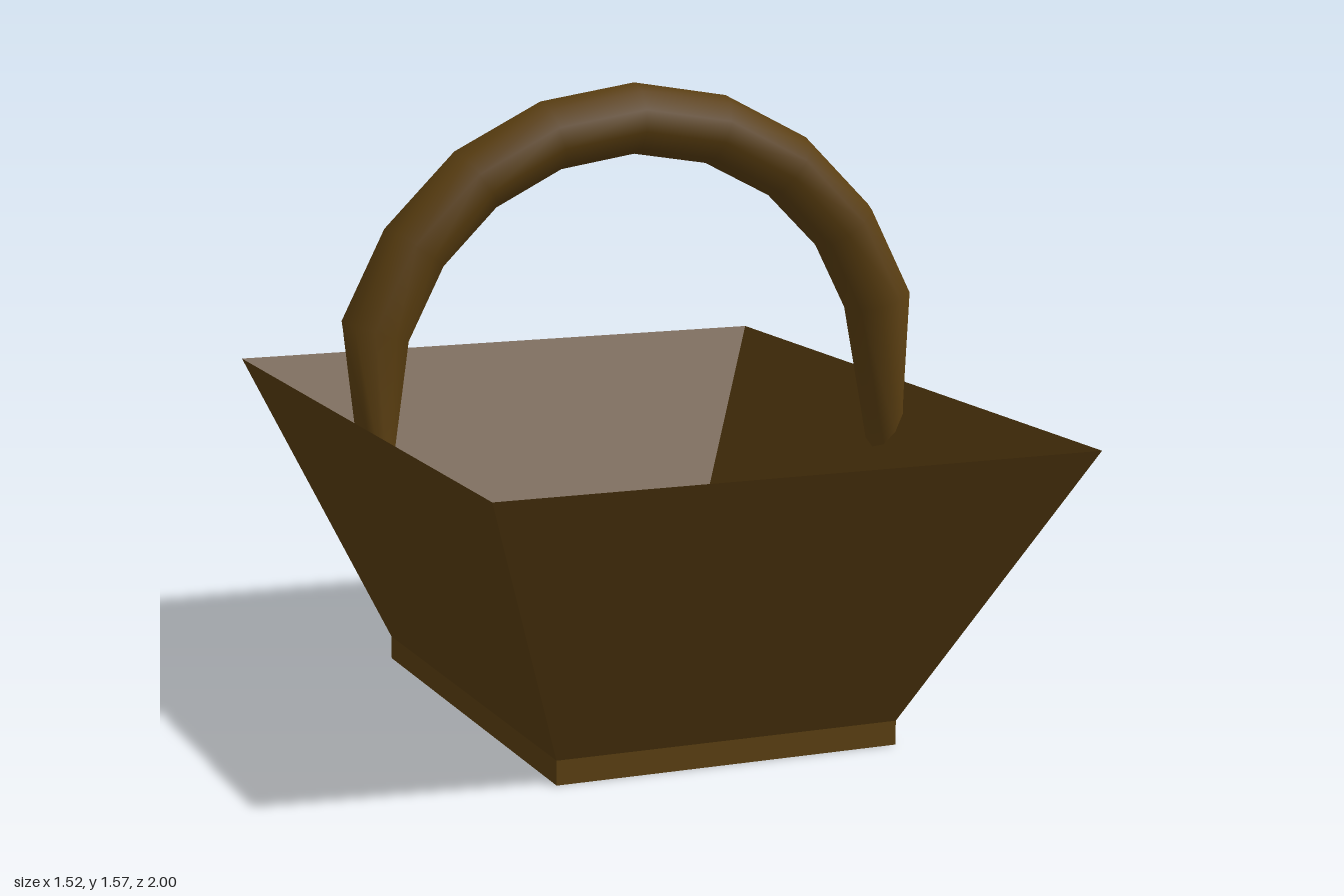
import * as THREE from 'three';

const BROWN = 0x5a3e10;

// Rectangle corners, counter-clockwise seen from above
const rectangle = (x, z, w, d, y) => [
  [x - w, y, z + d], [x + w, y, z + d], [x + w, y, z - d], [x - w, y, z - d],
];

// Skin of quads through successive rectangles, with optional end faces
function loftRectangles(rings, capStart, capEnd) {
  const index = [];
  for (let r = 0; r < rings.length - 1; r++) {
    for (let i = 0; i < 4; i++) {
      const a = r * 4 + i, b = r * 4 + (i + 1) % 4;
      index.push(a, b, b + 4, a, b + 4, a + 4);
    }
  }
  if (capStart) index.push(0, 2, 1, 0, 3, 2);
  if (capEnd) {
    const e = (rings.length - 1) * 4;
    index.push(e, e + 1, e + 2, e, e + 2, e + 3);
  }
  const geometry = new THREE.BufferGeometry();
  geometry.setAttribute('position', new THREE.Float32BufferAttribute(rings.flat(2), 3));
  geometry.setIndex(index);
  const flat = geometry.toNonIndexed();
  flat.computeVertexNormals();
  return flat;
}

// Half-ring handle whose two end loops are slanted to lie on the sloping walls
function handleGeometry() {
  const R = 0.71, r = 0.088, segments = 10;
  const geometry = new THREE.TorusGeometry(R, r, 10, segments, Math.PI);
  const p = geometry.attributes.position;
  for (let i = 0; i < p.count; i++) {
    const step = i % (segments + 1);
    if (step === 0 || step === segments) {
      const side = step === 0 ? 1 : -1;
      const c = (Math.abs(p.getX(i)) - R) / r;
      p.setX(i, side * (0.694 + 0.034 * c) + 0.008);
      p.setY(i, -0.09 + 0.075 * c);
    }
  }
  geometry.translate(-0.003, 0.775, 0.002);
  return geometry;
}

export function createModel() {
  const group = new THREE.Group();
  const add = (name, geometry, options = {}) => {
    const mesh = new THREE.Mesh(geometry, new THREE.MeshStandardMaterial({ color: BROWN, ...options }));
    mesh.name = name;
    group.add(mesh);
  };

  const base = rectangle(-0.005, -0.012, 0.44, 0.618, 0.06);
  const rim = rectangle(0.008, 0, 0.747, 1, 0.775);
  const foot = rectangle(-0.005, -0.012, 0.44, 0.618, 0);
  const floor = rectangle(-0.007, -0.015, 0.398, 0.575, 0.1);

  // Foot, flared walls to a sharp rim, then the inside down to the floor
  add('basketBody', loftRectangles([foot, base, rim, floor], true, true), { flatShading: true });
  add('handle', handleGeometry());

  return group;
}
